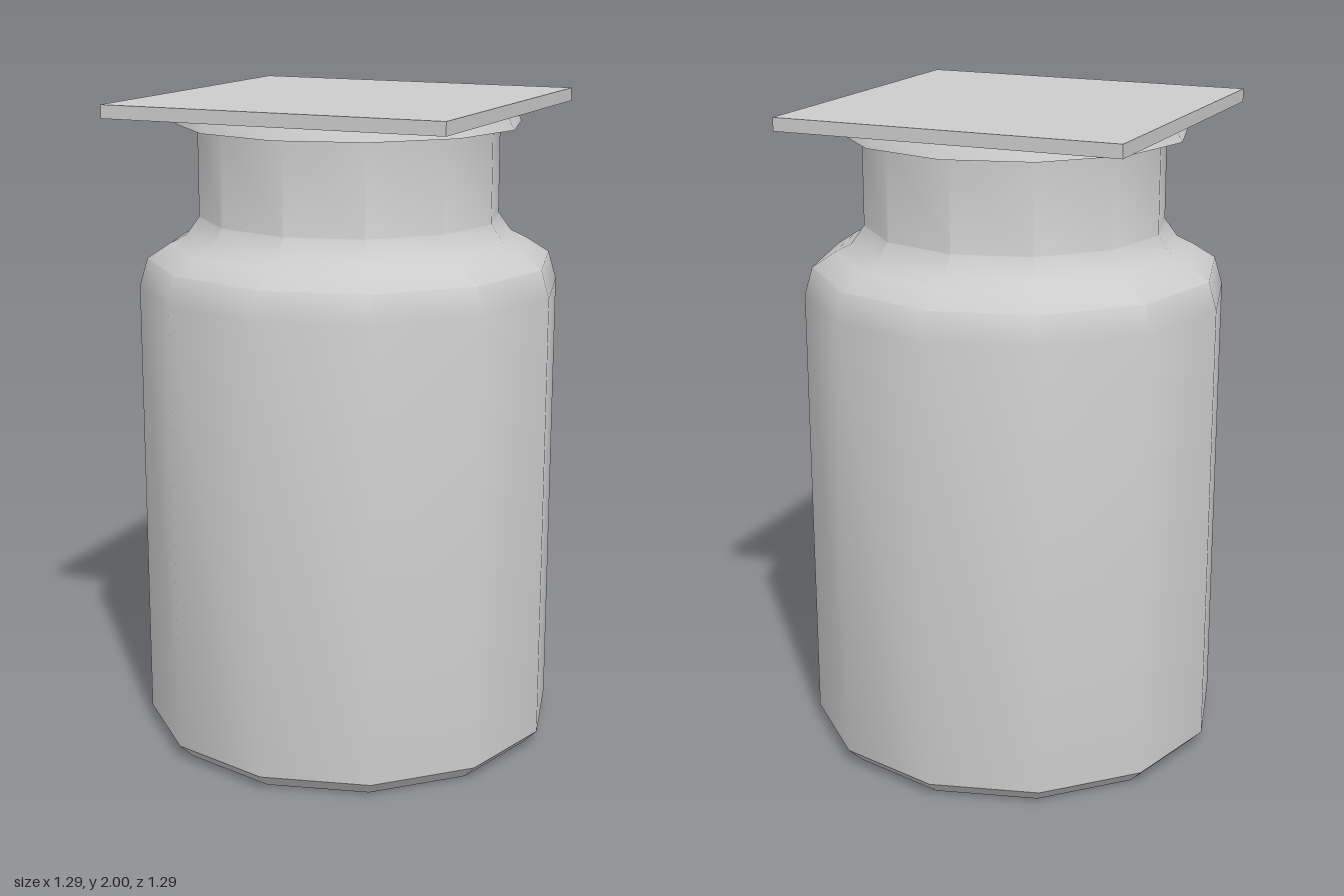
import * as THREE from 'three';
import { toCreasedNormals } from 'three/addons/utils/BufferGeometryUtils.js';

const SIDES = 12;

export function createModel() {
  const model = new THREE.Group();
  const material = new THREE.MeshStandardMaterial({ color: 0xcccccc });

  const add = (name, geometry) => {
    const mesh = new THREE.Mesh(geometry, material);
    mesh.name = name;
    model.add(mesh);
    return mesh;
  };

  // Twelve-sided turned part from [radius, height] pairs, listed bottom to top
  const turned = (profile) => toCreasedNormals(
    new THREE.LatheGeometry(profile.map(([r, y]) => new THREE.Vector2(r, y)), SIDES), 0.72);

  // Chamfered base, straight wall, rounded shoulder and neck
  add('jarBody', turned([
    [0, 0], [0.6, 0], [0.645, 0.045], [0.645, 1.43], [0.62, 1.515],
    [0.55, 1.56], [0.5, 1.585], [0.46, 1.64], [0.46, 1.92],
  ]));

  // Flared lip, closed beneath the lid
  add('lip', turned([[0.46, 1.92], [0.525, 1.92], [0.505, 1.96], [0, 1.96]]));

  // Thin square lid, resting slightly off centre
  add('lid', new THREE.BoxGeometry(1.065, 0.04, 1.065)).position.set(-0.003, 1.98, 0.017);

  return model;
}
